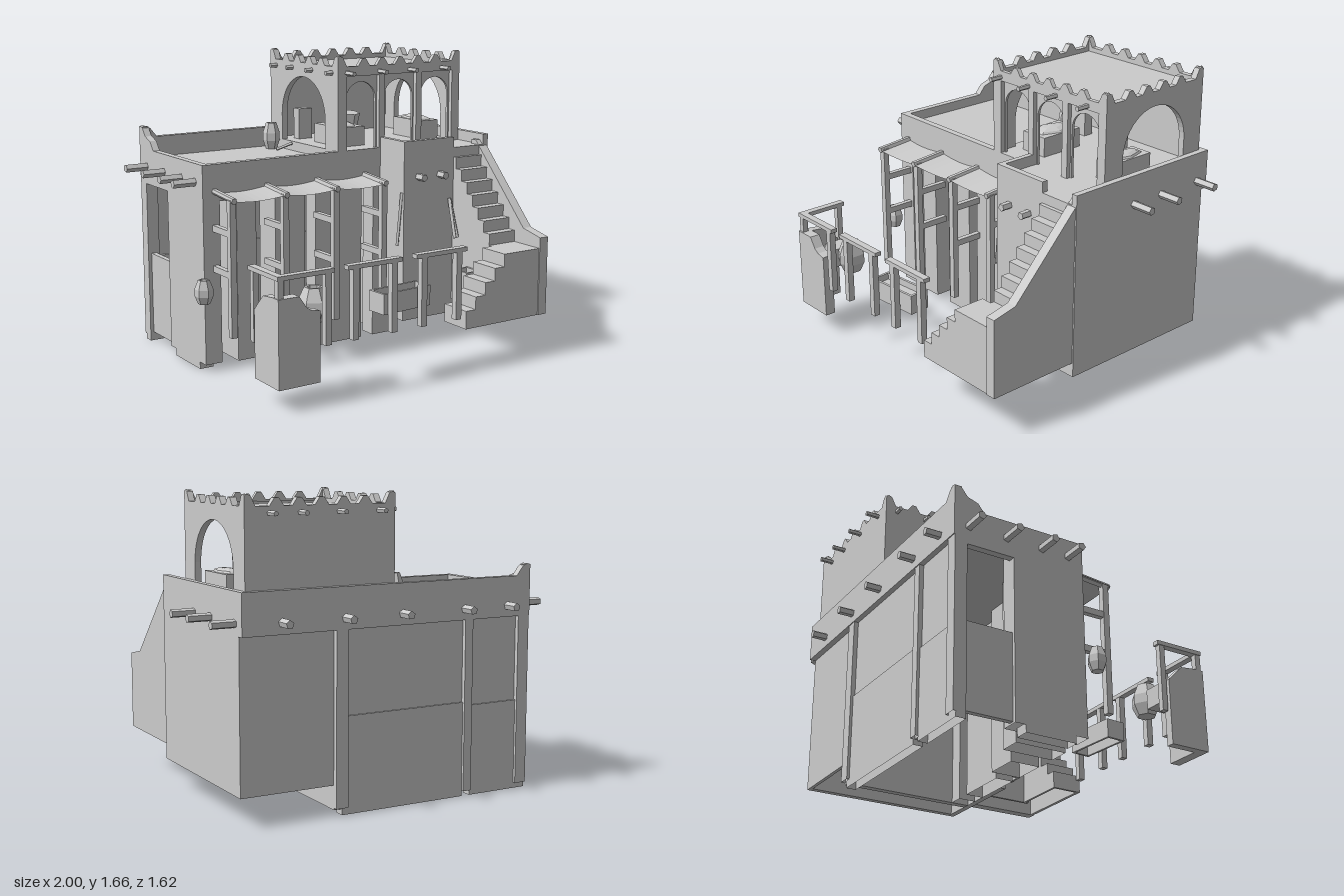
import * as THREE from 'three';

const grey = new THREE.MeshStandardMaterial({ color: 0xcccccc, flatShading: true, side: THREE.DoubleSide });

export function createModel() {
  const root = new THREE.Group();
  const add = (name, geo, x = 0, y = 0, z = 0) => {
    const m = new THREE.Mesh(geo, grey);
    m.name = name;
    m.position.set(x, y, z);
    root.add(m);
    return m;
  };
  // Box given by its limits on each axis
  const box = (name, x0, x1, y0, y1, z0, z1) =>
    add(name, new THREE.BoxGeometry(x1 - x0, y1 - y0, z1 - z0), (x0 + x1) / 2, (y0 + y1) / 2, (z0 + z1) / 2);
  // Box without its bottom face
  const shell = (...args) => {
    const geo = box(...args).geometry;
    geo.setIndex([...geo.index.array].filter((v, i) => i < 18 || i >= 24));
  };
  const poly = pts => new THREE.Shape(pts.map(p => new THREE.Vector2(...p)));
  const extrude = (shape, depth) => new THREE.ExtrudeGeometry(shape, { depth, bevelEnabled: false, curveSegments: 12 });
  // Profile in (x, y), thick from z0 to z1
  const plateZ = (name, shape, z0, z1) => add(name, extrude(shape, z1 - z0), 0, 0, z0);
  // Profile in (z, y), thick from x0 to x1
  const plateX = (name, shape, x0, x1) => add(name, extrude(shape, x1 - x0).rotateY(-Math.PI / 2), x1, 0, 0);
  // Round log between two points
  const log = (name, a, b, r = 0.023, sides = 5) => {
    const p = new THREE.Vector3(...a), q = new THREE.Vector3(...b), d = q.clone().sub(p);
    const m = add(name, new THREE.CylinderGeometry(r, r, d.length(), sides));
    m.position.copy(p).add(q).multiplyScalar(0.5);
    m.quaternion.setFromUnitVectors(new THREE.Vector3(0, 1, 0), d.normalize());
  };
  const pot = (name, x, y, z, r, h) => add(name, new THREE.LatheGeometry(
    [[0, 0], [0.65, 0], [1, 0.33], [1, 0.62], [0.62, 1], [0.45, 1], [0.45, 0.85], [0, 0.85]]
      .map(([a, b]) => new THREE.Vector2(a * r, b * h)), 6), x, y, z);

  // Main roof over an open ground floor
  box('mainRoof', -0.84, 0.3, 0.97, 1.075, -0.69, 0.02);
  box('backWall', -0.84, 0.34, 0.03, 0.98, -0.695, -0.67);
  box('roomDivider', 0.3, 0.34, 0.03, 0.98, -0.69, 0.04);

  // East block, a shell open below
  box('eastFloor', 0.28, 0.86, 1.05, 1.13, -0.68, 0.26);
  box('eastBackWall', 0.34, 0.86, 0.16, 1.1, -0.69, -0.67);
  box('eastLeftWall', 0.27, 0.3, 0.16, 1.19, 0, 0.27);
  box('eastFrontWall', 0.27, 0.62, 0.16, 1.19, 0.235, 0.27);
  box('eastFrontWallUnderStairs', 0.62, 0.84, 0.16, 1.13, 0.235, 0.27);
  box('eastRightWall', 0.835, 0.87, 0.16, 1.19, -0.69, 0.27);

  // Parapets and upper wall bands
  box('frontBand', -0.87, 0.28, 0.93, 1.13, 0, 0.04);
  box('backBand', -0.87, 0.87, 0.97, 1.19, -0.725, -0.685);
  box('leftBand', -0.87, -0.83, 0.93, 1.13, -0.72, 0.04);
  plateZ('cornerHorn', poly([[-0.87, 1.12], [-0.77, 1.12], [-0.78, 1.19], [-0.82, 1.24], [-0.85, 1.255], [-0.87, 1.25]]), -0.725, -0.685);
  plateX('cornerHorn', poly([[-0.725, 1.12], [-0.54, 1.12], [-0.59, 1.18], [-0.65, 1.2], [-0.69, 1.25], [-0.725, 1.25]]), -0.87, -0.83);

  // Thick piers along the front and left
  for (const [a, b, back] of [[-0.67, -0.55, -0.25], [-0.43, -0.24, -0.13], [-0.17, 0.14, -0.06], [0.22, 0.3, -0.06]])
    shell('frontPier', a, b, 0.03, 0.98, back, 0.04);
  shell('leftPier', -0.87, -0.77, 0.04, 0.98, -0.38, 0.04);
  shell('leftPierFooting', -0.87, -0.79, 0, 0.05, -0.32, -0.03);
  box('leftHalfWall', -0.85, -0.82, 0.05, 0.52, -0.66, -0.38);
  shell('leftBackPier', -0.87, -0.8, 0.04, 0.98, -0.72, -0.65);

  // Back pilasters and panels
  for (const [a, b, y] of [[0.27, 0.34, 0.04], [-0.5, -0.45, 0.03], [-0.87, -0.8, 0.03]])
    shell('backPilaster', a, b, y, 0.98, -0.72, -0.68);
  shell('backLowerPanel', -0.45, 0.3, 0, 0.52, -0.705, -0.65);
  shell('backLowerPanel', -0.87, -0.5, 0, 0.5, -0.705, -0.65);

  // Tower walls with a scalloped crest
  const crest = (a, b, bumps) => {
    const pts = [[a, 1.1], [b, 1.1], [b, 1.65], [b - 0.015, 1.66], [b - 0.035, 1.65], [b - 0.06, 1.6]];
    const step = (b - a - 0.1) / (bumps + 1);
    for (let i = bumps; i >= 1; i--) {
      const c = a + 0.05 + i * step;
      pts.push([c + 0.04, 1.6], [c + 0.012, 1.64], [c - 0.012, 1.64], [c - 0.04, 1.6]);
    }
    pts.push([a + 0.06, 1.6], [a + 0.035, 1.65], [a + 0.015, 1.66], [a, 1.65]);
    return poly(pts);
  };
  const arch = (c, r, y0, spring) => {
    const p = new THREE.Path();
    p.moveTo(c - r, y0);
    p.lineTo(c + r, y0);
    p.lineTo(c + r, spring);
    p.absarc(c, spring, r, 0, Math.PI, false);
    p.lineTo(c - r, y0);
    return p;
  };
  const frontFrame = crest(-0.02, 0.835, 5);
  const frontArches = poly([[-0.01, 1.1], [0.82, 1.1], [0.82, 1.59], [-0.01, 1.59]]);
  for (const c of [0.15, 0.41, 0.67]) {
    frontFrame.holes.push(poly([[c - 0.11, 1.13], [c + 0.11, 1.13], [c + 0.11, 1.545], [c - 0.11, 1.545]]));
    frontArches.holes.push(arch(c, 0.1, 1.13, 1.41));
  }
  plateZ('towerFrontFrame', frontFrame, 0.015, 0.04);
  plateZ('towerFrontArches', frontArches, 0, 0.015);
  plateZ('towerBackWall', crest(-0.02, 0.835, 5), -0.69, -0.655);
  for (const x of [-0.02, 0.8]) {
    const side = crest(-0.69, 0.04, 4);
    side.holes.push(arch(-0.325, 0.235, 1.13, 1.285));
    plateX('towerSideWall', side, x, x + 0.035);
  }
  box('towerRoof', 0, 0.81, 1.545, 1.575, -0.67, 0.02);
  box('towerFloor', -0.02, 0.83, 1.05, 1.13, -0.69, 0.04);

  // Roof beam ends
  for (const z of [-0.64, -0.42, -0.21, -0.05]) log('leftBeam', [-0.84, 1.03, z], [-1, 1.03, z]);
  for (const z of [-0.645, -0.36, -0.15]) log('rightBeam', [0.84, 1.03, z], [1, 1.03, z]);
  for (const x of [-0.72, -0.44, -0.05, 0.29, 0.65]) log('backBeam', [x, 1.03, -0.69], [x, 1.03, -0.81]);
  for (const x of [0.37, 0.52]) log('terraceBeam', [x, 0.985, 0.24], [x, 0.985, 0.33], 0.022);
  for (const x of [0.04, 0.26, 0.47, 0.7]) log('towerFrontBeam', [x, 1.565, 0.02], [x, 1.565, 0.115], 0.014);
  for (const x of [0.08, 0.31, 0.53, 0.7]) log('towerBackBeam', [x, 1.565, -0.67], [x, 1.565, -0.765], 0.014);
  for (const z of [-0.62, -0.44, -0.23, -0.02]) log('towerLeftBeam', [0, 1.565, z], [-0.065, 1.565, z], 0.014);

  // Stairs: stepped shells with closing side plates, open below
  const lowerSteps = [[0.86, 0.62]];
  for (let i = 5; i >= 1; i--) lowerSteps.push([0.295 + i * 0.065, 0.27 + i * 0.07], [0.295 + (i - 1) * 0.065, 0.27 + i * 0.07]);
  plateZ('lowerSteps', poly([[0.295, 0.24], [0.31, 0.24], [0.62, 0.56], [0.86, 0.56], ...lowerSteps]), 0.62, 0.8);
  plateZ('lowerStairsFront', poly([[0.295, 0.24], [0.86, 0.24], ...lowerSteps]), 0.785, 0.805);
  plateZ('lowerStairsBack', poly([[0.295, 0.24], [0.635, 0.24], [0.635, 0.62], ...lowerSteps.slice(1)]), 0.62, 0.635);
  const upperSteps = [];
  for (let i = 0; i < 8; i++) upperSteps.push([0.65 - i * 0.051, 0.62 + i * 0.065], [0.65 - (i + 1) * 0.051, 0.62 + i * 0.065]);
  plateX('upperSteps', poly([[0.24, 1.02], [0.65, 0.56], ...upperSteps]), 0.62, 0.81);
  plateX('upperStairsSide', poly([[0.24, 0.24], [0.65, 0.24], ...upperSteps]), 0.62, 0.635);
  plateX('stairSideWall', poly([[0.24, 0.24], [0.81, 0.24], [0.81, 0.68], [0.67, 0.71], [0.24, 1.155], [0.2, 1.155], [0.2, 1.1], [0.24, 1.1]]), 0.805, 0.862);

  // Sagging cloth canopy on poles
  const cloth = new THREE.PlaneGeometry(1, 0.22, 24, 4).rotateX(-Math.PI / 2);
  const cp = cloth.attributes.position;
  for (let i = 0; i < cp.count; i++) {
    const t = cp.getX(i) + 0.5, f = cp.getZ(i) / 0.22 + 0.5;
    const sag = Math.abs(Math.sin(t * 3 * Math.PI));
    cp.setY(i, -0.02 * f - 0.015 * sag);
    cp.setZ(i, cp.getZ(i) - 0.012 * sag * f);
  }
  cloth.computeVertexNormals();
  add('canopyCloth', cloth, -0.32, 0.985, 0.145);
  for (const x of [-0.8, -0.48, -0.16, 0.16]) {
    box('canopyPole', x - 0.018, x + 0.018, 0.23, 0.97, 0.205, 0.24);
    log('canopyRafter', [x, 0.985, 0.03], [x, 0.965, 0.255], 0.018);
    for (const y of [0.55, 0.77]) box('canopyBracket', x - 0.015, x + 0.015, y, y + 0.035, 0.03, 0.22);
  }

  // Yard fence
  for (const [a, b] of [[-0.87, -0.54], [-0.46, -0.125], [-0.035, 0.3]]) box('fenceRail', a, b, 0.67, 0.693, 0.76, 0.8);
  box('fenceSideRail', -0.87, -0.83, 0.67, 0.693, 0.51, 0.8);
  for (const x of [-0.575, -0.41, -0.17, 0.02, 0.25]) box('fencePost', x - 0.018, x + 0.018, 0.3, 0.67, 0.762, 0.798);
  for (const z of [0.78, 0.54]) box('fencePost', -0.866, -0.834, 0.3, 0.67, z - 0.016, z + 0.016);

  // Broken corner wall
  plateZ('cornerWall', poly([[-0.87, 0.12], [-0.63, 0.12], [-0.63, 0.49], [-0.68, 0.5], [-0.71, 0.52], [-0.75, 0.58], [-0.87, 0.58]]), 0.745, 0.805);
  plateX('cornerWallSide', poly([[0.57, 0.12], [0.75, 0.12], [0.75, 0.58], [0.66, 0.57], [0.57, 0.48]]), -0.87, -0.825);
  box('crate', -0.765, -0.655, 0.39, 0.5, 0.59, 0.7);

  // Open troughs made of a bottom and four sides
  const trough = (name, x, y, z, w, h, d, turn) => {
    const g = new THREE.Group(), t = 0.014;
    g.name = name;
    for (const [sx, sy, sz, px, py, pz] of [
      [w, t, d, 0, h * 0.6, 0], [w, h, t, 0, h / 2, d / 2 - t / 2], [w, h, t, 0, h / 2, t / 2 - d / 2],
      [t, h, d, w / 2 - t / 2, h / 2, 0], [t, h, d, t / 2 - w / 2, h / 2, 0]]) {
      const m = new THREE.Mesh(new THREE.BoxGeometry(sx, sy, sz), grey);
      m.position.set(px, py, pz);
      g.add(m);
    }
    g.position.set(x, y, z);
    g.rotation.y = turn;
    root.add(g);
  };
  trough('trough', -0.06, 0.39, 0.69, 0.32, 0.11, 0.12, 0.08);
  trough('stairCrate', 0.57, 0.35, 0.47, 0.1, 0.11, 0.12, 0);

  // Pots
  pot('yardPot', -0.57, 0.39, 0.65, 0.08, 0.18);
  pot('sidePot', -0.9, 0.4, 0.09, 0.05, 0.13);
  pot('roofPot', -0.082, 1.075, -0.585, 0.05, 0.155);

  // Leaning tools
  log('leaningBoard', [0.575, 0.62, 0.35], [0.585, 0.84, 0.28], 0.012, 4);
  log('leaningBoard', [0.6, 0.62, 0.34], [0.59, 0.83, 0.28], 0.012, 4);
  log('leaningStick', [0.24, 0.6, 0.25], [0.27, 0.9, 0.25], 0.01, 4);
  log('roofStick', [-0.13, 1.09, -0.445], [-0.03, 1.12, -0.435], 0.009, 4);

  // Goods in the tower room
  for (const [a, b] of [[0.08, 0.25], [0.65, 0.78]]) {
    box('goodsBox', a, b, 1.13, 1.24, -0.36, -0.09);
    add('goodsHeap', new THREE.SphereGeometry(1, 6, 3, 0, Math.PI * 2, 0, Math.PI / 2).scale((b - a) * 0.46, 0.025, 0.125), (a + b) / 2, 1.238, -0.225);
  }
  box('tallBox', 0.06, 0.15, 1.13, 1.31, -0.56, -0.5);
  add('bucket', new THREE.CylinderGeometry(0.068, 0.05, 0.14, 6), 0.41, 1.197, -0.5).rotation.x = 0.12;
  return root;
}
